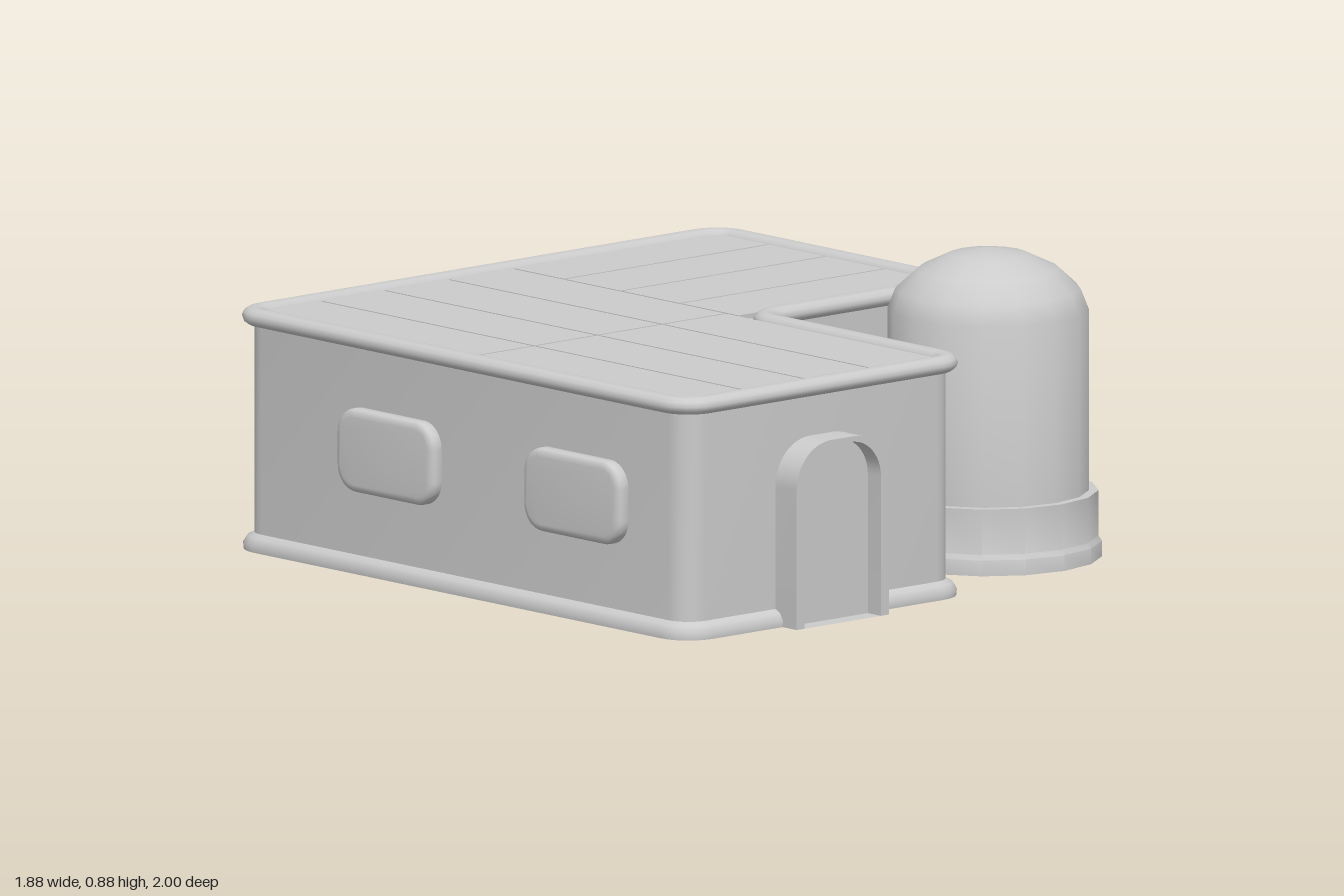
import * as THREE from 'three';
import { toCreasedNormals } from 'three/addons/utils/BufferGeometryUtils.js';

const material = new THREE.MeshStandardMaterial({ color: 0xcccccc, side: THREE.DoubleSide });

function part(parent, name, geometry, x = 0, y = 0, z = 0, turn = 0) {
  const mesh = new THREE.Mesh(geometry, material);
  mesh.name = name;
  mesh.position.set(x, y, z);
  mesh.rotation.y = turn;
  parent.add(mesh);
  return mesh;
}

// L-shaped footprint with rounded corners, as points with outward normals (v = -z)
function footprint() {
  const corners = [[-0.905, -0.91], [0.12, -0.91], [0.12, -0.045], [0.9, -0.045], [0.9, 0.965], [-0.905, 0.965]]
    .map(([x, y]) => new THREE.Vector2(x, y));
  const path = [], steps = 6;
  corners.forEach((p, i) => {
    const d1 = p.clone().sub(corners[(i + 5) % 6]).normalize();
    const d2 = corners[(i + 1) % 6].clone().sub(p).normalize();
    const side = Math.sign(d1.cross(d2));
    const r = side * (side > 0 ? 0.075 : 0.09);
    const n1 = new THREE.Vector2(d1.y, -d1.x), n2 = new THREE.Vector2(d2.y, -d2.x);
    const center = p.clone().addScaledVector(n1, -r).addScaledVector(n2, -r);
    for (let k = 0; k <= steps; k++) {
      const n = n1.clone().rotateAround(new THREE.Vector2(), side * (k / steps) * Math.PI / 2);
      path.push({ p: center.clone().addScaledVector(n, r), n });
    }
  });
  return path;
}

// Carries a profile of [outward offset, height] around the footprint
function sweep(path, profile, crease) {
  const positions = [], index = [], m = path.length, q = profile.length;
  path.forEach(({ p, n }, j) => {
    profile.forEach(([o, y], k) => {
      positions.push(p.x + n.x * o, y, -(p.y + n.y * o));
      if (k === q - 1) return;
      const a = j * q + k, b = ((j + 1) % m) * q + k;
      index.push(a, b, b + 1, a, b + 1, a + 1);
    });
  });
  const g = new THREE.BufferGeometry();
  g.setAttribute('position', new THREE.Float32BufferAttribute(positions, 3));
  g.setIndex(index);
  return toCreasedNormals(g, crease);
}

function roundedRect(w, h, r) {
  const s = new THREE.Shape(), x = w / 2, y = h / 2;
  s.absarc(x - r, y - r, r, 0, Math.PI / 2);
  s.absarc(r - x, y - r, r, Math.PI / 2, Math.PI);
  s.absarc(r - x, r - y, r, Math.PI, Math.PI * 1.5);
  s.absarc(x - r, r - y, r, Math.PI * 1.5, Math.PI * 2);
  s.closePath();
  return s;
}

// Doorway outline standing on y = 0
function arch(w, h, r) {
  const s = new THREE.Shape(), x = w / 2;
  s.moveTo(-x, 0);
  s.lineTo(x, 0);
  s.absarc(x - r, h - r, r, 0, Math.PI / 2);
  s.absarc(r - x, h - r, r, Math.PI / 2, Math.PI);
  s.closePath();
  return s;
}

export function createModel() {
  const model = new THREE.Group();
  model.name = 'outpost';
  const path = footprint();

  // Walls with a flared foot, and the rounded roof rim
  part(model, 'walls', sweep(path, [[0.03, 0], [0.032, 0.018], [0.02, 0.038], [0, 0.048], [0, 0.67]], 0.7));
  const rim = [];
  for (let i = 0; i <= 12; i++) {
    const t = (i / 12) * Math.PI * 2;
    rim.push([0.035 * Math.cos(t), 0.67 + 0.026 * Math.sin(t)]);
  }
  part(model, 'roofRim', sweep(path, rim, 1.2));

  // Roof deck with panels separated by narrow seams
  const deck = new THREE.ShapeGeometry(new THREE.Shape(path.map(e => e.p))).rotateX(-Math.PI / 2);
  part(model, 'roofDeck', deck, 0, 0.664, 0);
  const roof = new THREE.Group();
  roof.name = 'roofPanels';
  model.add(roof);
  const panel = (x0, x1, z0, z1) => part(roof, 'roofPanel',
    new THREE.BoxGeometry(x1 - x0 - 0.008, 0.014, z1 - z0 - 0.008), (x0 + x1) / 2, 0.673, (z0 + z1) / 2);
  const columns = [-0.885, -0.64, -0.4, -0.155, 0.09];
  const rows = [-0.945, -0.72, -0.48, -0.23, 0.02];
  for (let i = 0; i < 4; i++) {
    panel(columns[i], columns[i + 1], -0.945, -0.03);
    panel(columns[i], columns[i + 1], -0.03, 0.885);
    panel(0.09, 0.88, rows[i], rows[i + 1]);
  }

  // Pillow-shaped windows: x, z, turn about y
  const windowGeometry = toCreasedNormals(new THREE.ExtrudeGeometry(roundedRect(0.41, 0.24, 0.075), {
    depth: 0.022, bevelThickness: 0.016, bevelSize: 0.022, bevelOffset: -0.022, bevelSegments: 3, curveSegments: 6,
  }), 0.6);
  const quarter = Math.PI / 2;
  [[0.42, -0.965, Math.PI], [-0.42, -0.965, Math.PI],
    [-0.905, -0.33, -quarter], [-0.905, 0.46, -quarter],
    [0.9, -0.465, quarter], [0.12, 0.58, quarter], [0.52, 0.045, 0],
  ].forEach(([x, z, turn]) => part(model, 'window', windowGeometry, x, 0.355, z, turn));

  // Arched door: projecting frame around a recessed leaf
  const frame = arch(0.35, 0.53, 0.13);
  frame.holes.push(arch(0.29, 0.515, 0.115));
  part(model, 'doorFrame', toCreasedNormals(new THREE.ExtrudeGeometry(frame,
    { depth: 0.11, bevelEnabled: false, curveSegments: 6 }), 0.6), -0.392, 0, 0.89);
  part(model, 'door', new THREE.ShapeGeometry(arch(0.3, 0.52, 0.12), 6), -0.392, 0, 0.944);

  // Domed tank on an open skirt
  const tank = new THREE.Group();
  tank.name = 'tank';
  tank.position.set(0.588, 0, 0.522);
  model.add(tank);
  const lathe = (points, crease) => toCreasedNormals(
    new THREE.LatheGeometry(points.map(([r, y]) => new THREE.Vector2(r, y)), 16), crease);
  part(tank, 'tankBody', lathe([[0.285, 0.09], [0.285, 0.71], [0.262, 0.768], [0.2, 0.825],
    [0.11, 0.868], [0, 0.885]], 0.75));
  part(tank, 'tankSkirt', lathe([[0.322, 0], [0.322, 0.045], [0.312, 0.06], [0.312, 0.19], [0.283, 0.19]], 0.6));
  part(tank, 'tankFloor', new THREE.CircleGeometry(0.312, 16).rotateX(quarter), 0, 0.09, 0);
  part(tank, 'drain', new THREE.TorusGeometry(0.03, 0.01, 6, 12).rotateX(quarter), 0, 0.085, 0);

  return model;
}
